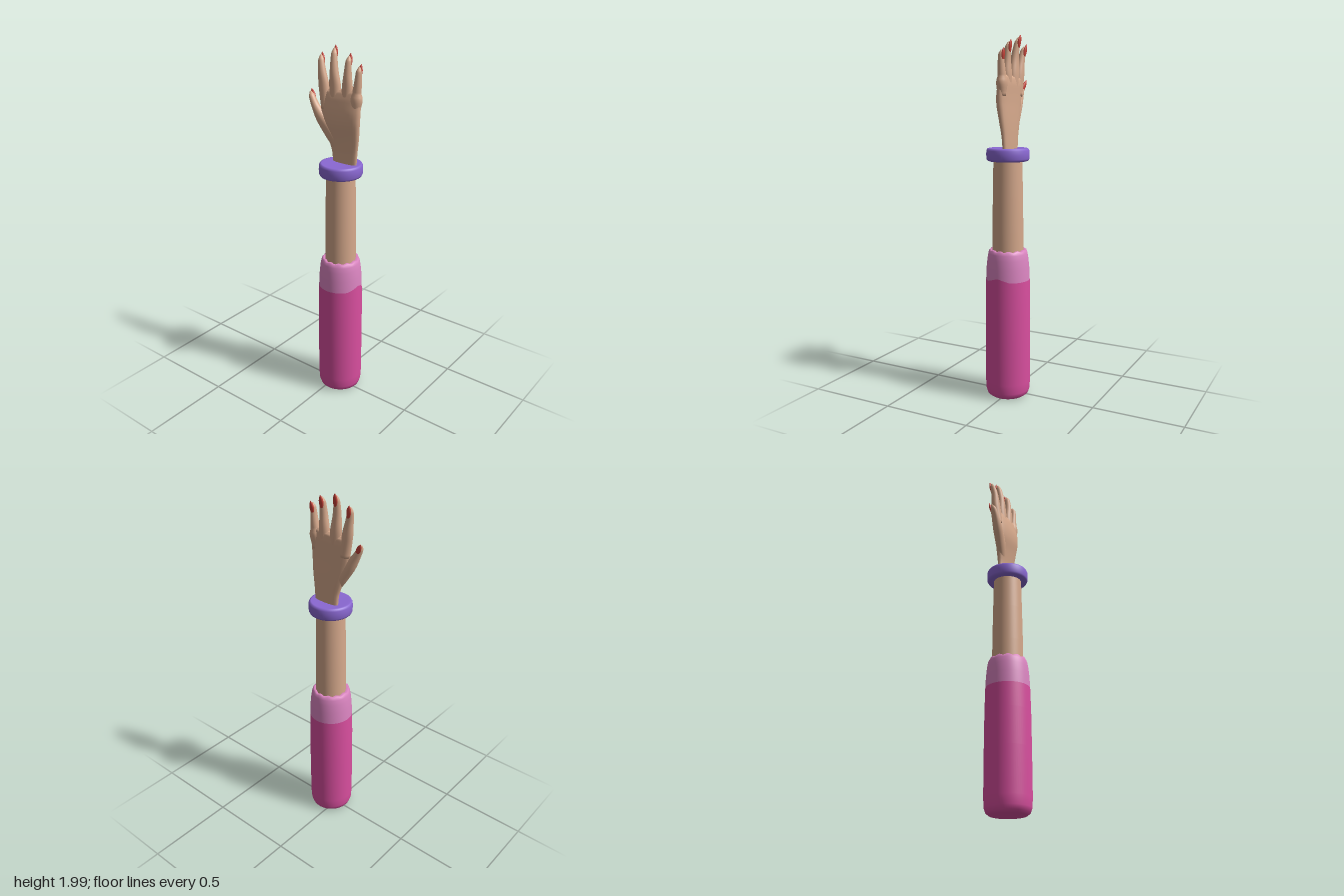
import * as THREE from 'three';

const AXIS_Z = 0.038; // the arm's axis sits slightly forward of the centre

const mat = (color) => new THREE.MeshStandardMaterial({ color });
const skin = mat(0xd6a98c), pink = mat(0xd94f9f), palePink = mat(0xdc86c2);
const purple = mat(0x8a68d2), red = mat(0xc8443a);

function part(name, geometry, material) {
  const mesh = new THREE.Mesh(geometry, material);
  mesh.name = name;
  return mesh;
}

// Turned part around the arm's axis; lift(angle, y) shifts vertices in height
function turned(name, profile, material, lift) {
  const geo = new THREE.LatheGeometry(profile.map(([r, y]) => new THREE.Vector2(r, y)), 64);
  if (lift) {
    const p = geo.attributes.position;
    for (let i = 0; i < p.count; i++) {
      p.setY(i, p.getY(i) + lift(Math.atan2(p.getX(i), p.getZ(i)), p.getY(i)));
    }
  }
  const mesh = part(name, geo, material);
  mesh.position.z = AXIS_Z;
  return mesh;
}

// Smooth skin over rounded sections [y, z, x, half width, half thickness];
// power < 1 squares the section off
function loft(sections, steps, power = 1) {
  const path = new THREE.CatmullRomCurve3(sections.map(([y, z, x]) => new THREE.Vector3(x, y, z)));
  const size = new THREE.CatmullRomCurve3(sections.map((s) => new THREE.Vector3(s[3], s[4], 0)));
  const N = 24, pos = [], idx = [];
  const bend = (v) => Math.sign(v) * Math.abs(v) ** power;
  for (let i = 0; i <= steps; i++) {
    const c = path.getPoint(i / steps), s = size.getPoint(i / steps), t = path.getTangent(i / steps);
    const len = Math.hypot(t.y, t.z);
    for (let j = 0; j < N; j++) {
      const a = (j / N) * Math.PI * 2;
      const u = bend(Math.cos(a)) * s.x, v = bend(Math.sin(a)) * s.y;
      pos.push(c.x + v, c.y - (u * t.z) / len, c.z + (u * t.y) / len);
      if (i < steps) {
        const k = (j + 1) % N, r = i * N;
        idx.push(r + j, r + k, r + N + j, r + k, r + N + k, r + N + j);
      }
    }
  }
  // end caps
  const first = path.getPoint(0), last = path.getPoint(1), n = pos.length / 3, top = steps * N;
  pos.push(first.x, first.y, first.z, last.x, last.y, last.z);
  for (let j = 0; j < N; j++) {
    const k = (j + 1) % N;
    idx.push(n, k, j, n + 1, top + j, top + k);
  }
  const geo = new THREE.BufferGeometry();
  geo.setAttribute('position', new THREE.Float32BufferAttribute(pos, 3));
  geo.setIndex(idx);
  geo.computeVertexNormals();
  return geo;
}

// Pointed nail on the back (+x) of a fingertip, running along from -> tip
function nail(from, tip, x) {
  const [dy, dz] = [tip[0] - from[0], tip[1] - from[1]];
  const len = Math.hypot(dy, dz);
  const rows = [[0.07, 0.002, 0.002, 0], [0.06, 0.010, 0.006, 0], [0.035, 0.0135, 0.008, 0.002],
    [0.014, 0.009, 0.006, 0.005], [0, 0.001, 0.001, 0.007]];
  return loft(rows.map(([d, w, h, out]) =>
    [tip[0] - (dy / len) * d, tip[1] - (dz / len) * d, x + out, w, h]), 14);
}

export function createModel() {
  const model = new THREE.Group();
  model.name = 'arm';

  // Sleeve and cuff share a seam that peaks at the front
  const seam = 0.683;
  const peak = (a, y) => (Math.abs(y - seam) < 0.001 ? 0.022 * Math.max(0, 1 - Math.abs(a) / 0.6) : 0);
  model.add(turned('sleeve', [[0, 0.012], [0.07, 0.01], [0.098, 0.014], [0.114, 0.026], [0.122, 0.05],
    [0.125, 0.1], [0.125, 0.35], [0.124, 0.55], [0.121, seam]], pink, peak));
  model.add(turned('cuff', [[0.121, seam], [0.118, 0.75], [0.113, 0.80], [0.108, 0.83], [0.102, 0.846],
    [0.094, 0.85], [0.08, 0.846]], palePink,
  (a, y) => peak(a, y) + (y > 0.84 ? 0.004 * Math.cos(12 * a) : 0)));

  // Forearm and bracelet
  model.add(turned('forearm', [[0.085, 0.82], [0.085, 0.95], [0.082, 1.15], [0.078, 1.36]], skin));
  model.add(turned('bracelet', [[0.07, 1.336], [0.1, 1.334], [0.111, 1.338], [0.116, 1.348], [0.117, 1.37],
    [0.116, 1.392], [0.111, 1.402], [0.103, 1.405], [0.09, 1.402], [0, 1.401]], purple));

  // Hand: flat across x, palm towards -x
  const hand = new THREE.Group();
  hand.name = 'hand';
  model.add(hand);
  hand.add(part('palm', loft([
    [1.38, 0.048, 0.020, 0.073, 0.018],
    [1.46, 0.048, 0.018, 0.080, 0.021],
    [1.54, 0.043, 0.012, 0.098, 0.027],
    [1.62, 0.035, 0.004, 0.115, 0.033],
    [1.68, 0.031, 0.004, 0.122, 0.032],
    [1.74, 0.030, 0.009, 0.122, 0.027],
    [1.775, 0.028, 0.012, 0.116, 0.019],
    [1.788, 0.027, 0.012, 0.100, 0.006],
  ], 36, 0.8), skin));

  // Each digit: sections from the palm to the tip, then the nail's tip
  const digits = {
    littleFinger: [[[1.68, 0.121, 0.008, 0.024, 0.022], [1.78, 0.127, 0.012, 0.024, 0.022],
      [1.85, 0.134, 0.012, 0.018, 0.018], [1.893, 0.137, 0.013, 0.014, 0.014],
      [1.914, 0.138, 0.017, 0.004, 0.004]], [1.925, 0.139]],
    ringFinger: [[[1.68, 0.064, 0.008, 0.028, 0.025], [1.79, 0.067, 0.012, 0.030, 0.024],
      [1.87, 0.069, 0.012, 0.021, 0.020], [1.935, 0.070, 0.018, 0.015, 0.015],
      [1.958, 0.070, 0.023, 0.004, 0.004]], [1.97, 0.070]],
    middleFinger: [[[1.68, 0.002, 0.008, 0.028, 0.026], [1.79, -0.009, 0.012, 0.033, 0.025],
      [1.88, -0.017, 0.013, 0.023, 0.021], [1.962, -0.025, 0.024, 0.015, 0.015],
      [1.987, -0.027, 0.030, 0.004, 0.004]], [2.0, -0.028]],
    indexFinger: [[[1.68, -0.062, 0.006, 0.028, 0.026], [1.79, -0.080, 0.010, 0.030, 0.024],
      [1.87, -0.094, 0.012, 0.021, 0.020], [1.924, -0.105, 0.019, 0.015, 0.015],
      [1.946, -0.109, 0.024, 0.004, 0.004]], [1.957, -0.111]],
    thumb: [[[1.48, 0.010, 0.014, 0.030, 0.016], [1.56, -0.036, 0.004, 0.038, 0.026],
      [1.63, -0.086, -0.006, 0.032, 0.027], [1.69, -0.123, -0.010, 0.021, 0.022],
      [1.737, -0.147, -0.009, 0.015, 0.017], [1.757, -0.158, -0.005, 0.004, 0.004]], [1.768, -0.163]],
  };
  for (const [name, [sections, tip]] of Object.entries(digits)) {
    hand.add(part(name, loft(sections, 28), skin));
    const end = sections.at(-2);
    hand.add(part(name + 'Nail', nail(sections.at(-3), tip, end[2] + end[4] * 0.7), red));
  }
  return model;
}
